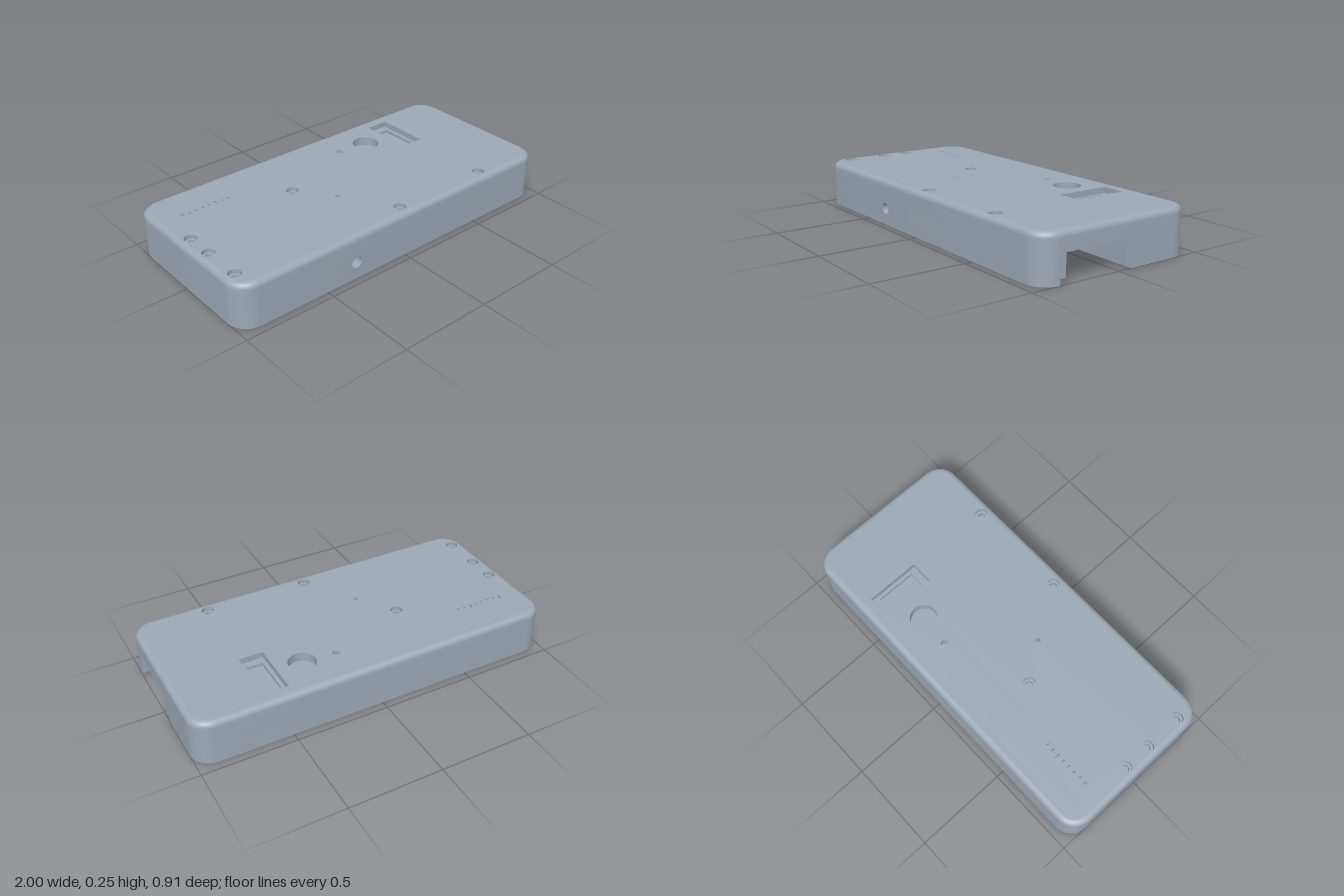
import * as THREE from 'three';
import { toCreasedNormals } from 'three/addons/utils/BufferGeometryUtils.js';

const HX = 1, HZ = 0.456, R = 0.11, TOP = 0.245, FILLET = 0.03;

// Rounded rectangle in x/z, inset by d; starts and ends on the +x side
function ring(d, hx = HX, hz = HZ, r = R, n = 12) {
  const pts = [];
  [[1, 1], [-1, 1], [-1, -1], [1, -1]].forEach(([sx, sz], k) => {
    for (let i = 0; i <= n; i++) {
      const a = (k + i / n) * Math.PI / 2;
      pts.push(new THREE.Vector2(
        sx * (hx - r) + Math.cos(a) * (r - d),
        sz * (hz - r) + Math.sin(a) * (r - d)));
    }
  });
  return pts;
}
const vecs = list => list.map(([x, z]) => new THREE.Vector2(x, z));

function circle(x, z, r) {
  return new THREE.Path().absarc(x, z, r, 0, Math.PI * 2, true);
}
function rect(x0, x1, z0, z1) {
  return new THREE.Path(vecs([[x0, z0], [x0, z1], [x1, z1], [x1, z0], [x0, z0]]));
}

// Horizontal slab from y0 to y1 with outline and holes given in x/z
function slab(pts, y0, y1, holes = []) {
  const shape = new THREE.Shape(pts);
  shape.holes.push(...holes);
  const g = new THREE.ExtrudeGeometry(shape, { depth: y1 - y0, bevelEnabled: false, curveSegments: 24 });
  g.rotateX(Math.PI / 2).translate(0, y1, 0);
  return toCreasedNormals(g, 0.6);
}

// Upper skin: straight wall rolling over into the top fillet
function skin(y0) {
  const profile = [[0, y0], [0, TOP - FILLET]];
  for (let i = 1; i <= 6; i++) {
    const a = i / 6 * Math.PI / 2;
    profile.push([FILLET * (1 - Math.cos(a)), TOP - FILLET * (1 - Math.sin(a))]);
  }
  const pos = [], idx = [], n = ring(0).length;
  profile.forEach(([d, y], j) => {
    ring(d).forEach(p => pos.push(p.x, y, p.y));
    if (j === 0) return;
    for (let i = 0; i < n; i++) {
      const k = (i + 1) % n, a = (j - 1) * n, b = j * n;
      idx.push(a + i, b + i, a + k, b + i, b + k, a + k);
    }
  });
  const g = new THREE.BufferGeometry();
  g.setAttribute('position', new THREE.Float32BufferAttribute(pos, 3));
  g.setIndex(idx);
  g.computeVertexNormals();
  return g;
}

export function createModel() {
  const group = new THREE.Group();
  const grey = new THREE.MeshStandardMaterial({ color: 0x9da8b5 });
  grey.name = 'blue grey plastic';

  const add = (name, geometry, x = 0, y = 0, z = 0) => {
    const m = new THREE.Mesh(geometry, grey);
    m.name = name;
    m.position.set(x, y, z);
    group.add(m);
    return m;
  };
  const box = (name, x0, x1, y0, y1, z0, z1) =>
    add(name, new THREE.BoxGeometry(x1 - x0, y1 - y0, z1 - z0),
      (x0 + x1) / 2, (y0 + y1) / 2, (z0 + z1) / 2);

  // Base plate: wide bay mouth open at the +x end, and a hatch opening
  const hatchX = -0.7, hatch = (hx, hz) =>
    ring(0, hx, hz, 0.03, 4).map(p => new THREE.Vector2(p.x + hatchX, p.y));
  const baseDoor = vecs([[1, -0.075], [-0.28, -0.075], [-0.28, 0.355], [1, 0.355]]);
  add('basePlate', slab([...ring(0), ...baseDoor], 0, 0.03, [new THREE.Path(hatch(0.213, 0.39))]));

  // Shallow part of the bay
  const shallow = vecs([[1, -0.04], [-0.26, -0.04], [-0.26, 0.335], [0.14, 0.335],
    [0.14, 0.43], [0.9, 0.43], [0.9, 0.315], [1, 0.315]]);
  add('bayRim', slab([...ring(0), ...shallow], 0.03, 0.045));

  // Deep part of the bay, with a pocket in the front wall for the socket
  const deep = vecs([[1, -0.04], [0.14, -0.04], [0.14, 0.43], [0.9, 0.43], [0.9, 0.315], [1, 0.315]]);
  const socketNotch = vecs([[-0.28, HZ], [-0.28, 0.4], [-0.36, 0.4], [-0.36, HZ]]);
  const outer = ring(0);
  add('lowerBody', slab([...outer.slice(0, 13), ...socketNotch, ...outer.slice(13), ...deep], 0.045, 0.145));

  // Front wall piece with the round socket hole
  const socket = new THREE.Shape(vecs([[-0.36, 0.045], [-0.28, 0.045], [-0.28, 0.145], [-0.36, 0.145]]));
  socket.holes.push(circle(-0.32, 0.09, 0.03));
  add('socketWall', toCreasedNormals(new THREE.ExtrudeGeometry(socket,
    { depth: HZ - 0.4, bevelEnabled: false, curveSegments: 24 }), 0.6), 0, 0, 0.4);

  // Solid core between bay and top pockets
  add('core', slab(ring(0), 0.145, 0.195));

  // Top plate with every opening, wrapped by the rounded skin
  const screws = [[-0.936, -0.035], [-0.936, 0.12], [-0.936, 0.335], [-0.295, -0.085], [0.02, 0.39], [0.59, 0.39]];
  const holes = [
    circle(0.345, -0.245, 0.073),
    circle(0.165, -0.26, 0.018),
    circle(-0.155, 0.11, 0.012),
    rect(0.485, 0.615, -0.38, -0.08),
    ...screws.map(([x, z]) => circle(x, z, 0.033)),
  ];
  for (let i = 0; i < 8; i++) {
    const x = -0.855 + i * 0.038, tall = i === 0 || i === 5;
    holes.push(rect(x - 0.005, x + 0.005, tall ? -0.257 : -0.245, -0.228));
  }
  add('topPlate', slab(ring(FILLET), 0.195, TOP, holes));
  add('topSkin', skin(0.195));

  // Recessed screw seats with a central bore
  const seat = new THREE.Shape().absarc(0, 0, 0.034, 0, Math.PI * 2);
  const seatGeo = slab(seat.getPoints(24), 0.195, 0.222, [circle(0, 0, 0.02)]);
  screws.forEach(([x, z]) => add('screwSeat', seatGeo, x, 0, z));

  // Stepped frame in the rectangular window
  add('windowStep', slab(vecs([[0.485, -0.38], [0.615, -0.38], [0.615, -0.08], [0.485, -0.08]]),
    0.195, 0.212, [rect(0.505, 0.595, -0.34, -0.12)]));

  // Hatch in the base with a ribbed finger catch
  add('hatch', slab(hatch(0.207, 0.384), 0.001, 0.03, [rect(-0.625, -0.525, -0.36, -0.3)]));
  for (let i = 0; i < 5; i++) {
    const x = -0.613 + i * 0.022;
    box('catchRib', x - 0.004, x + 0.004, 0.004, 0.03, -0.36, -0.3);
  }

  // Bay fittings: bosses along the front wall, bearing block, spindle, posts
  const boss = new THREE.CylinderGeometry(0.028, 0.028, 0.115, 24);
  [0.81, 0.605, 0.4, 0.2].forEach(x => add('boss', boss, x, 0.0875, 0.4));
  box('bearingBlock', 0.139, 0.21, 0.002, 0.125, 0.08, 0.195);
  const tube = slab(new THREE.Shape().absarc(0, 0, 0.022, 0, Math.PI * 2).getPoints(24),
    0, 0.17, [circle(0, 0, 0.011)]);
  add('spindle', tube, 0.21, 0.045, 0.138).rotation.z = -Math.PI / 2;
  [[0.24, 0.29], [0, 0.045]].forEach(([z0, z1]) => box('bayPost', 0.139, 0.18, 0.045, 0.13, z0, z1));
  return group;
}
